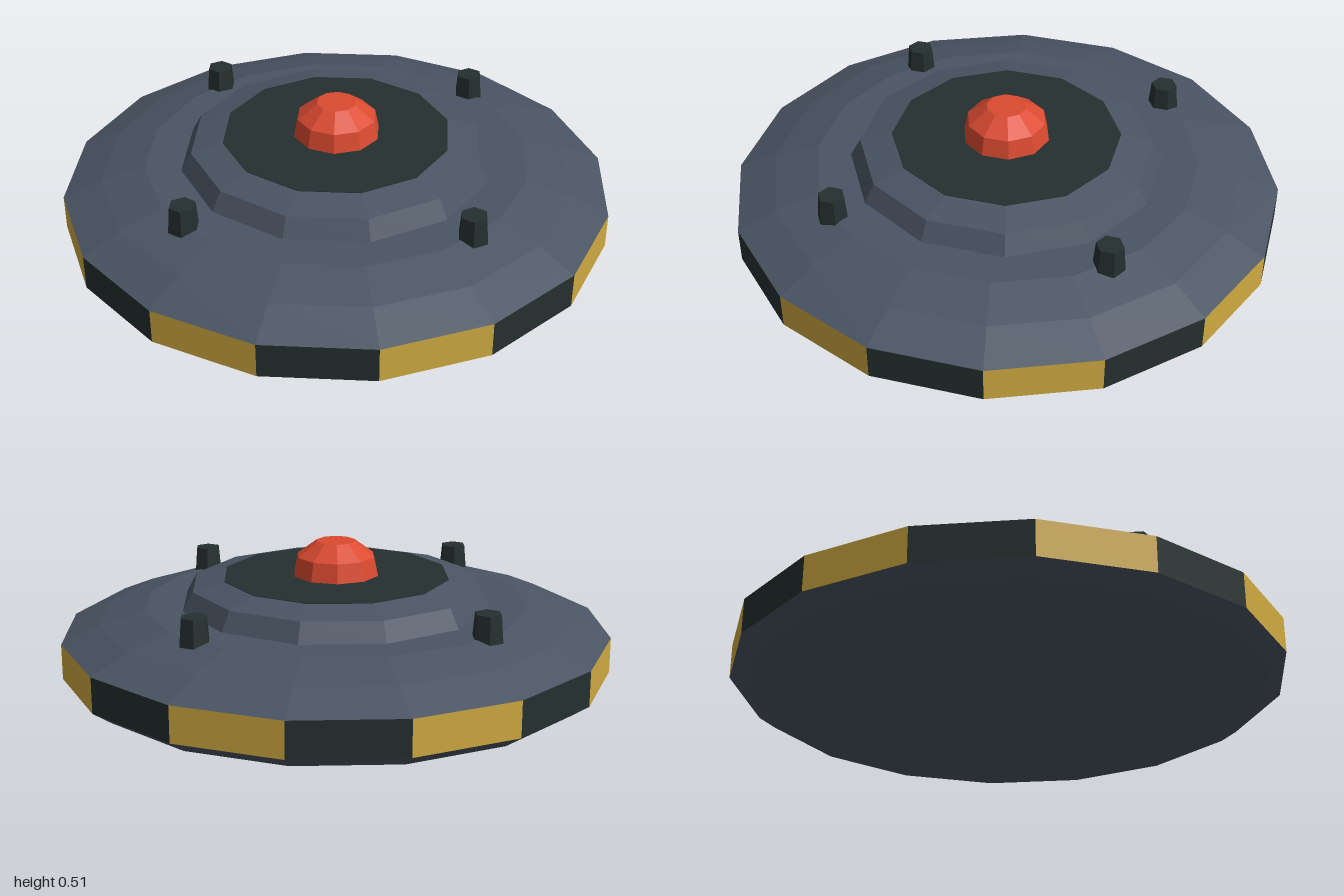
import * as THREE from 'three';

const mat = (name, color) => {
  const m = new THREE.MeshStandardMaterial({ color });
  m.name = name;
  return m;
};

// Faceted turned solid; radii are measured to the middle of each flat side.
function faceted(profile, sides, phi = Math.PI / sides) {
  const k = 1 / Math.cos(Math.PI / sides);
  const points = profile.map(([r, y]) => new THREE.Vector2(r * k, y));
  return new THREE.LatheGeometry(points, sides, phi);
}

function flat(geometry) {
  const g = geometry.toNonIndexed();
  g.computeVertexNormals();
  return g;
}

export function createModel() {
  const model = new THREE.Group();
  const hull = mat('slate hull', 0x4a5463);
  const dark = mat('dark metal', 0x252f2f);
  const yellow = mat('warning yellow', 0xcfaa41);
  const red = mat('signal red', 0xdb4a30);

  const add = (name, geometry, material) => {
    const mesh = new THREE.Mesh(flat(geometry), material);
    mesh.name = name;
    model.add(mesh);
    return mesh;
  };

  // Sixteen-sided body: chamfered underside and sloping upper shell
  add('underside', faceted([[0, 0], [0.93, 0], [1, 0.05]], 16), hull);
  add('upperShell', faceted([[1, 0.18], [0.86, 0.24], [0.7, 0.285], [0, 0.285]], 16), hull);

  // Rim of alternating dark and yellow panels
  const rim = faceted([[1, 0.05], [1, 0.18]], 16);
  for (let i = 0; i < 16; i++) rim.addGroup(i * 6, 6, i % 2);
  // the first panel sits one step round from the front
  add('warningRim', rim, [yellow, dark]);

  // Twelve-sided raised deck with a dark plate on top
  add('raisedDeck', faceted([[0.565, 0.28], [0.525, 0.355], [0.41, 0.383]], 12), hull);
  add('deckPlate', faceted([[0.41, 0.383], [0.41, 0.385], [0, 0.385]], 12), dark);

  // Ten-sided signal button with a flat cap
  add('button', faceted([[0.155, 0.38], [0.14, 0.455], [0.07, 0.51], [0, 0.51]], 10, 0), red);

  // Four hexagonal bolts
  for (const x of [-0.5, 0.5]) {
    for (const z of [-0.5, 0.5]) {
      const bolt = add('bolt', new THREE.CylinderGeometry(0.049, 0.058, 0.1, 6), dark);
      bolt.position.set(x, 0.32, z);
    }
  }
  return model;
}
